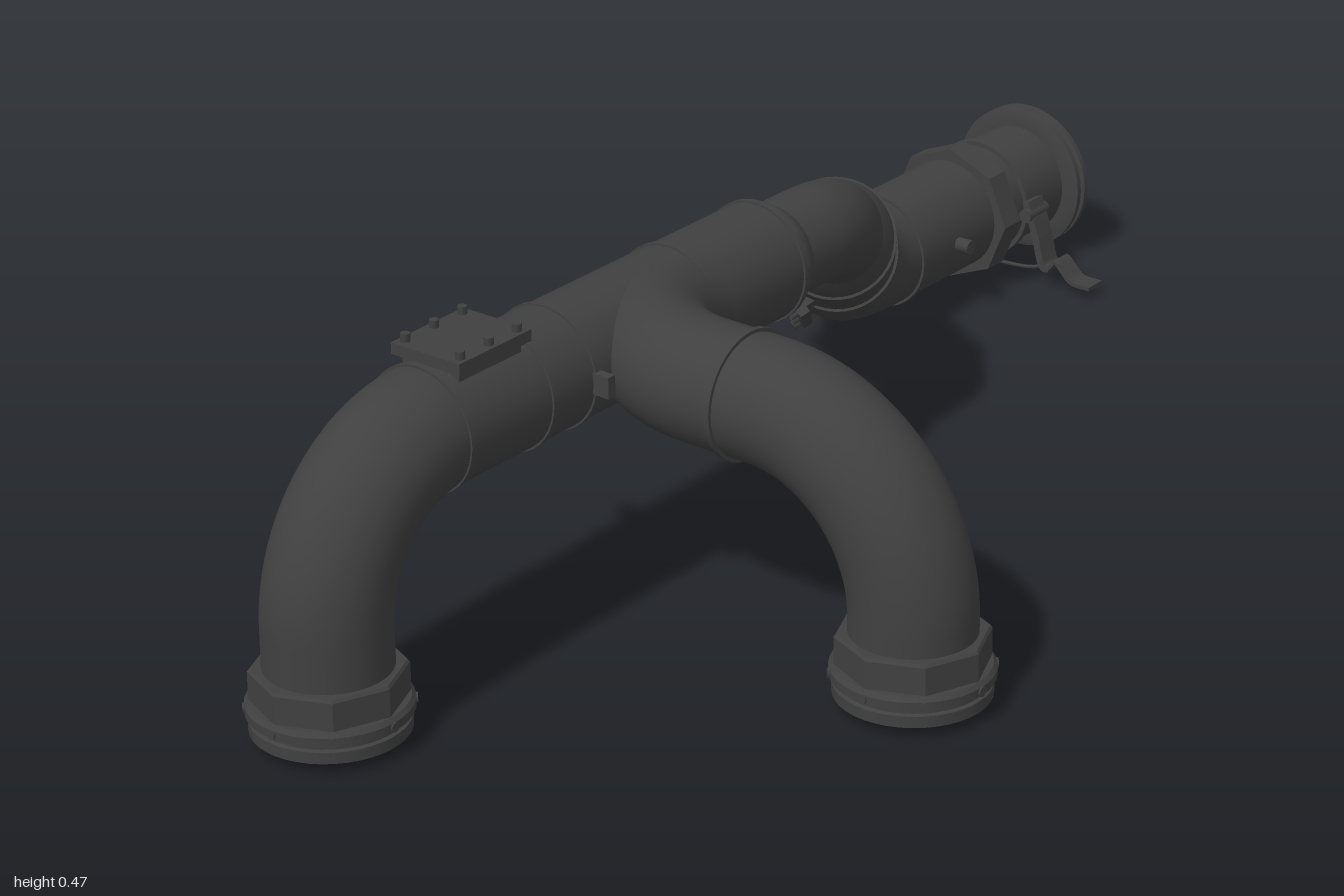
import * as THREE from 'three';
import { toCreasedNormals } from 'three/addons/utils/BufferGeometryUtils.js';

const mat = new THREE.MeshStandardMaterial({ color: 0x404040, side: THREE.DoubleSide });
const V = (x, y, z) => new THREE.Vector3(x, y, z);
const UP = V(0, 1, 0);
const R = 0.085, THIN = 0.07;

// circular bend that rounds the corner b between a and c
class Bend extends THREE.Curve {
  constructor(start, d1, d2, radius) {
    super();
    this.start = start; this.d1 = d1; this.radius = radius;
    this.angle = d1.angleTo(d2);
    this.side = d2.clone().addScaledVector(d1, -d1.dot(d2)).normalize();
  }
  getPoint(t, target = V(0, 0, 0)) {
    const a = this.angle * t;
    return target.copy(this.start)
      .addScaledVector(this.d1, this.radius * Math.sin(a))
      .addScaledVector(this.side, this.radius * (1 - Math.cos(a)));
  }
}

function add(parent, name, geo, pos, dir) {
  const m = new THREE.Mesh(geo, mat);
  m.name = name;
  if (pos) m.position.copy(pos);
  if (dir) m.quaternion.setFromUnitVectors(UP, dir);
  parent.add(m);
  return m;
}

// pipe through corner points; each inner corner gets its bend radius
function pipe(parent, name, pts, bends, r) {
  const g = new THREE.Group();
  g.name = name;
  let from = pts[0];
  const straight = (a, b) => {
    const len = a.distanceTo(b);
    if (len < 1e-4) return;
    add(g, name + 'Straight', new THREE.CylinderGeometry(r, r, len, 40, 1, true),
      a.clone().lerp(b, 0.5), b.clone().sub(a).normalize());
  };
  bends.forEach((rad, i) => {
    const b = pts[i + 1];
    const d1 = b.clone().sub(pts[i]).normalize(), d2 = pts[i + 2].clone().sub(b).normalize();
    const t = rad * Math.tan(d1.angleTo(d2) / 2);
    const start = b.clone().addScaledVector(d1, -t);
    straight(from, start);
    add(g, name + 'Bend', new THREE.TubeGeometry(new Bend(start, d1, d2, rad), 28, r, 40, false));
    from = b.clone().addScaledVector(d2, t);
  });
  straight(from, pts[pts.length - 1]);
  parent.add(g);
}

// turned part: profile is [radius, distance along dir]
function turned(parent, name, profile, pos, dir, sides = 40) {
  const geo = new THREE.LatheGeometry(profile.map(p => new THREE.Vector2(...p)), sides);
  return add(parent, name, toCreasedNormals(geo, 0.6), pos, dir);
}

const band = (parent, name, r, w, pos, dir, sides) =>
  turned(parent, name, [[R - 0.01, -w / 2], [r, -w / 2], [r, w / 2], [R - 0.01, w / 2]], pos, dir, sides);

// ring of small bolts, axes either radial or along the pipe
function boltRing(parent, name, n, radius, along, radial, pos, dir) {
  const g = new THREE.Group();
  g.name = name;
  for (let i = 0; i < n; i++) {
    const a = i / n * Math.PI * 2;
    const out = V(Math.cos(a), 0, Math.sin(a));
    add(g, 'bolt', new THREE.CylinderGeometry(0.007, 0.007, 0.018, 8),
      out.clone().multiplyScalar(radius).setY(along), radial ? out : UP);
  }
  g.position.copy(pos);
  g.quaternion.setFromUnitVectors(UP, dir);
  parent.add(g);
}

// bolted access hatch; local x runs along the pipe, local y points outward
function hatch(parent, pos, along, out) {
  const g = new THREE.Group();
  g.name = 'accessHatch';
  add(g, 'hatchPlate', new THREE.BoxGeometry(0.14, 0.016, 0.115), V(0, 0.093, 0));
  add(g, 'hatchNeck', new THREE.BoxGeometry(0.12, 0.04, 0.095), V(0, 0.068, 0));
  for (const x of [-0.055, 0, 0.055]) for (const z of [-0.046, 0.046])
    add(g, 'hatchBolt', new THREE.CylinderGeometry(0.007, 0.007, 0.014, 6), V(x, 0.105, z));
  g.position.copy(pos);
  g.quaternion.setFromRotationMatrix(
    new THREE.Matrix4().makeBasis(along, out, along.clone().cross(out)));
  parent.add(g);
}

// faceted coupling with a lipped, recessed mouth under a leg
function legCoupling(parent, x, z) {
  const g = new THREE.Group();
  g.name = 'legCoupling';
  const down = V(0, -1, 0);
  turned(g, 'couplingCollar', [[0.08, 0], [0.1, 0], [0.103, 0.004], [0.103, 0.045], [0.08, 0.045]],
    V(x, 0.103, z), down, 8);
  turned(g, 'couplingRim', [[0.08, 0], [0.104, 0], [0.109, 0.006], [0.109, 0.018], [0.1, 0.021], [0.1, 0.026],
    [0.105, 0.028], [0.105, 0.044], [0.078, 0.044], [0.078, 0.025], [0.072, 0.025], [0.072, 0.01], [0, 0.01]],
    V(x, 0.06, z), down);
  boltRing(g, 'couplingLugs', 8, 0.102, 0.012, true, V(x, 0.06, z), down);
  parent.add(g);
}

// latch lever: a flat strip following a wavy outline
function lever(parent, center, s) {
  const line = new THREE.CatmullRomCurve3([[0.097, 0.02], [0.115, -0.03], [0.131, -0.08], [0.142, -0.077],
    [0.152, -0.066], [0.166, -0.078], [0.182, -0.092], [0.217, -0.094]].map(p => V(p[0], p[1], 0)));
  const upper = [], lower = [];
  for (let i = 0; i <= 32; i++) {
    const p = line.getPoint(i / 32), t = line.getTangent(i / 32), h = i < 13 ? 0.006 : 0.003;
    upper.push(new THREE.Vector2(s * (p.x - t.y * h), p.y + t.x * h));
    lower.unshift(new THREE.Vector2(s * (p.x + t.y * h), p.y - t.x * h));
  }
  const geo = new THREE.ExtrudeGeometry(new THREE.Shape([...upper, ...lower]), { depth: 0.036, bevelEnabled: false });
  geo.translate(0, 0, -0.018).rotateY(Math.PI / 2);
  add(parent, 'latchLever', geo, center);
  add(parent, 'leverPivot', new THREE.CylinderGeometry(0.011, 0.011, 0.05, 10),
    V(center.x, center.y, center.z + s * 0.101), V(1, 0, 0));
}

export function createModel() {
  const model = new THREE.Group();
  model.name = 'pipeAssembly';
  const X = V(1, 0, 0), Z = V(0, 0, 1);
  const cy = 0.36, cz = -0.09, ey = 0.112, ez = -0.335;

  // main pipe with the outer leg
  pipe(model, 'mainPipe', [V(-0.89, 0.08, cz), V(-0.89, cy, cz), V(0, cy, cz)], [0.2], R);
  // branch sweeping forward from the main pipe and down to the front leg
  pipe(model, 'branchPipe', [V(0, cy, cz), V(-0.365, cy, cz), V(-0.365, cy, 0.44), V(-0.365, 0.08, 0.44)], [0.2, 0.235], R);
  legCoupling(model, -0.89, cz);
  legCoupling(model, -0.365, 0.44);

  // joint bands
  for (const x of [-0.7, -0.54, -0.455, -0.2, -0.01]) band(model, 'jointBand', R + 0.003, 0.008, V(x, cy, cz), X);
  band(model, 'branchBand', R + 0.005, 0.008, V(-0.365, cy, 0.175), Z);
  for (const s of [-1, 1])
    add(model, 'bandLug', new THREE.BoxGeometry(0.014, 0.03, 0.03), V(-0.455, cy, cz + s * 0.095));

  // reducer and thin offset pipe
  turned(model, 'reducer', [[R, 0], [R, 0.004], [THIN, 0.03]], V(-0.002, cy, cz), X);
  const c1 = V(0.16, cy, cz), c2 = V(0.506, ey, ez);
  const d = c2.clone().sub(c1).normalize();
  const at = s => c1.clone().addScaledVector(d, s);
  pipe(model, 'thinPipe', [V(0.02, cy, cz), c1, at(0.14)], [0.17], THIN);
  turned(model, 'expander', [[THIN, 0], [R, 0.03], [R, 0.04]], at(0.12), d);

  // lower pipe to the outlet
  pipe(model, 'outletPipe', [at(0.155), c2, V(0.975, ey, ez)], [0.2], R);
  for (const s of [0.16, 0.3]) band(model, 'offsetBand', R + 0.004, 0.008, at(s), d);

  // access hatches on top of the main pipe and behind the offset
  hatch(model, V(-0.62, cy, cz), X, UP);
  const out = V(-1, 0, 0).addScaledVector(d, d.x).normalize();
  hatch(model, at(0.3), d, out);

  // outlet fittings
  const E = x => V(x, ey, ez);
  turned(model, 'outletCollar', [[0.08, -0.02], [0.105, -0.02], [0.105, 0.02], [0.08, 0.02]], E(0.802), X, 8);
  band(model, 'latchBand', 0.092, 0.012, E(0.865), X);
  band(model, 'outletBand', 0.089, 0.008, E(0.6), X);
  turned(model, 'outletFlange', [[0.08, 0], [0.1, 0], [0.112, 0.004], [0.112, 0.012], [0.106, 0.014], [0.106, 0.02],
    [0.112, 0.022], [0.112, 0.03], [0.086, 0.03], [0.086, 0.012], [0.078, 0.008], [0, 0.008]], E(0.963), X);
  boltRing(model, 'flangeBolts', 8, 0.1, 0.028, false, E(0.963), X);
  for (const s of [-1, 1]) {
    add(model, 'sideStud', new THREE.CylinderGeometry(0.011, 0.011, 0.03, 12), V(0.69, ey, ez + s * 0.093), Z);
    lever(model, E(0.865), s);
  }
  // retaining wire slung below the outlet between the levers
  const wire = new THREE.CatmullRomCurve3([[-0.134, 0.036], [-0.1, 0.02], [0, 0.014], [0.1, 0.02], [0.134, 0.036]]
    .map(p => V(0.865, p[1], ez + p[0])));
  add(model, 'retainingWire', new THREE.TubeGeometry(wire, 24, 0.003, 6));
  return model;
}
